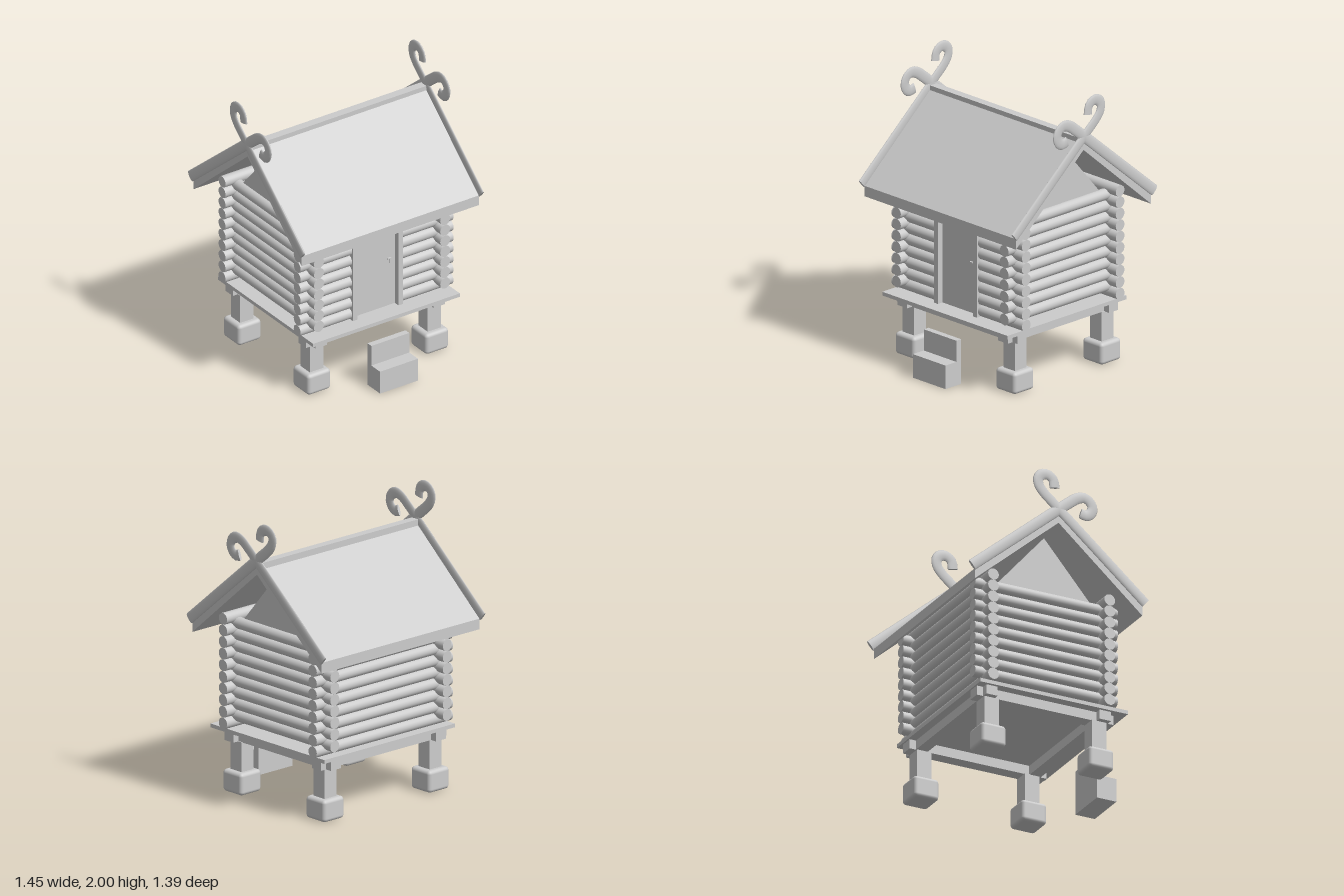
import * as THREE from 'three';
import { mergeGeometries } from 'three/addons/utils/BufferGeometryUtils.js';
import { RoundedBoxGeometry } from 'three/addons/geometries/RoundedBoxGeometry.js';

const wood = new THREE.MeshStandardMaterial({ color: 0xcccccc });
wood.name = 'plain grey';

const MID_Z = -0.024; // ridge and wall centre line

export function createModel() {
  const model = new THREE.Group();
  model.name = 'logStorehouse';

  const add = (name, geometry) => {
    const mesh = new THREE.Mesh(geometry, wood);
    mesh.name = name;
    model.add(mesh);
    return mesh;
  };
  // Box given by its limits on each axis
  const box = (name, x0, x1, y0, y1, z0, z1) =>
    add(name, new THREE.BoxGeometry(x1 - x0, y1 - y0, z1 - z0))
      .position.set((x0 + x1) / 2, (y0 + y1) / 2, (z0 + z1) / 2);
  // Prism with a (z, y) outline, running along x
  const prism = (name, outline, halfLength) => {
    const shape = new THREE.Shape(outline.map(([z, y]) => new THREE.Vector2(-z, y)));
    const g = new THREE.ExtrudeGeometry(shape, { depth: 2 * halfLength, bevelEnabled: false });
    g.translate(0, 0, -halfLength).rotateY(Math.PI / 2);
    return add(name, g);
  };
  // Round log along x or z
  const log = (name, axis, from, to, y, side) => {
    const g = new THREE.CylinderGeometry(0.04, 0.04, to - from, 20);
    const mid = (from + to) / 2;
    if (axis === 'x') g.rotateZ(Math.PI / 2).translate(mid, y, side);
    else g.rotateX(Math.PI / 2).translate(side, y, mid);
    add(name, g);
  };

  // Foundation stones and legs
  for (const x of [-0.472, 0.472]) {
    for (const z of [0.375, -0.425]) {
      add('foundationStone', new RoundedBoxGeometry(0.185, 0.152, 0.185, 3, 0.025)).position.set(x, 0.079, z);
      box('leg', x - 0.054, x + 0.054, 0.15, 0.36, z - 0.054, z + 0.054);
    }
  }

  // Crossed floor beams and platform
  for (const x of [-0.472, 0.472]) box('sideBeam', x - 0.046, x + 0.046, 0.358, 0.424, -0.53, 0.485);
  for (const z of [0.4, -0.442]) box('crossBeam', -0.565, 0.565, 0.358, 0.424, z - 0.042, z + 0.042);
  box('platform', -0.587, 0.587, 0.424, 0.45, -0.541, 0.556);

  // Side wall logs, staggered against the front and back logs
  for (let i = 0; i < 9; i++) {
    for (const x of [-0.505, 0.505]) log('sideLog', 'z', -0.555, 0.505, 0.53 + i * 0.08, x);
  }
  for (let i = 0; i < 10; i++) {
    const y = 0.49 + i * 0.08;
    log('backLog', 'x', -0.612, 0.612, y, -0.456);
    if (i === 9) {
      log('frontLog', 'x', -0.612, 0.612, y, 0.408);
    } else {
      log('frontLog', 'x', -0.612, -0.2, y, 0.408);
      log('frontLog', 'x', 0.2, 0.612, y, 0.408);
    }
  }

  // Door, posts and handle
  box('door', -0.165, 0.165, 0.45, 1.18, 0.385, 0.415);
  for (const s of [-1, 1]) box('doorPost', s * 0.1825 - 0.0175, s * 0.1825 + 0.0175, 0.45, 1.18, 0.363, 0.458);
  box('doorHandle', 0.1, 0.13, 0.802, 0.81, 0.415, 0.428);
  box('doorHandlePlate', 0.122, 0.13, 0.765, 0.81, 0.415, 0.42);

  // Gable triangles
  for (const x of [-0.485, 0.485]) {
    prism('gable', [[0.325, 1.2], [-0.375, 1.2], [MID_Z, 1.606]], 0.02).position.x = x;
  }

  // Roof slopes with upright eaves, and ridge beam
  for (const s of [-1, 1]) {
    const eave = MID_Z + s * 0.622;
    prism('roofSlope', [[eave, 1.097], [eave, 1.17], [MID_Z, 1.708], [MID_Z, 1.635]], 0.709);
  }
  box('ridgeBeam', -0.709, 0.709, 1.66, 1.72, -0.06, 0);

  // Crossed gable boards ending in curls: flattened tubes along (z, y) paths
  const paths = [
    [[0.62, 1.187], [0.25, 1.5], [0, 1.711], [-0.07, 1.77], [-0.135, 1.825], [-0.172, 1.873], [-0.178, 1.922],
      [-0.151, 1.955], [-0.109, 1.963], [-0.068, 1.936], [-0.057, 1.876]],
    [[-0.67, 1.187], [-0.3, 1.499], [-0.04, 1.718], [0.056, 1.797], [0.109, 1.836], [0.162, 1.852], [0.204, 1.832],
      [0.225, 1.788], [0.206, 1.743], [0.17, 1.725], [0.135, 1.736]],
  ];
  const curlBoard = (path) => {
    const curve = new THREE.CatmullRomCurve3(path.map(([z, y]) => new THREE.Vector3(0, y, z)), false, 'centripetal');
    const parts = [new THREE.TubeGeometry(curve, 64, 0.038, 12)];
    for (const t of [0, 1]) {
      const cap = new THREE.CircleGeometry(0.038, 12);
      const out = curve.getTangent(t).multiplyScalar(t ? 1 : -1);
      cap.applyQuaternion(new THREE.Quaternion().setFromUnitVectors(new THREE.Vector3(0, 0, 1), out));
      const p = curve.getPoint(t);
      parts.push(cap.translate(p.x, p.y, p.z));
    }
    return mergeGeometries(parts).scale(0.27, 1, 1);
  };
  for (const path of paths) {
    const g = curlBoard(path);
    for (const x of [-0.715, 0.715]) add('curledGableBoard', g).position.x = x;
  }

  // Entrance steps
  box('lowerStep', -0.152, 0.152, 0, 0.165, 0.556, 0.7);
  box('upperStep', -0.152, 0.152, 0.165, 0.313, 0.556, 0.6);

  return model;
}
